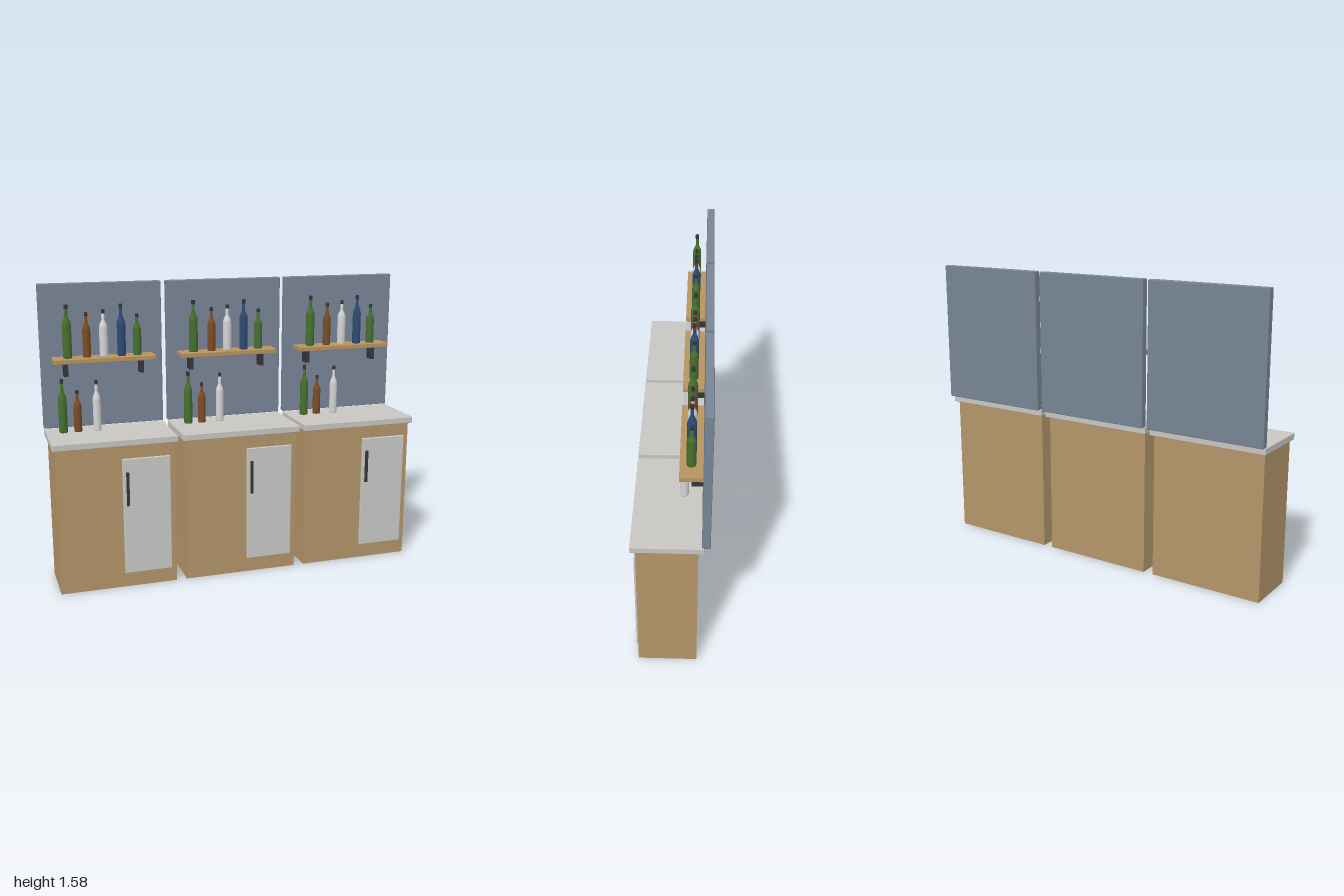
import * as THREE from 'three';
import { RoundedBoxGeometry } from 'three/addons/geometries/RoundedBoxGeometry.js';

const material = (name, color) => {
  const m = new THREE.MeshStandardMaterial({ color });
  m.name = name;
  return m;
};

// Box given by its min/max extents; a radius softens the edges
function box(name, mat, [x0, x1], [y0, y1], [z0, z1], radius = 0) {
  const size = [x1 - x0, y1 - y0, z1 - z0];
  const geo = radius ? new RoundedBoxGeometry(...size, 2, radius) : new THREE.BoxGeometry(...size);
  const mesh = new THREE.Mesh(geo, mat);
  mesh.name = name;
  mesh.position.set((x0 + x1) / 2, (y0 + y1) / 2, (z0 + z1) / 2);
  return mesh;
}

// Bottle with straight body, sloped shoulder, slim neck and a dark cap
function bottle(name, glass, capMat, x, y, z, h, r) {
  const group = new THREE.Group();
  group.name = name;
  const neck = r * 0.36;
  const profile = [
    [0, 0], [r * 0.94, 0], [r, h * 0.015], [r, h * 0.62], [r * 0.9, h * 0.67],
    [r * 0.55, h * 0.74], [neck, h * 0.79], [neck, h * 0.93], [0, h * 0.93],
  ].map(([a, b]) => new THREE.Vector2(a, b));
  const body = new THREE.Mesh(new THREE.LatheGeometry(profile, 20), glass);
  body.name = 'bottleBody';
  const cap = new THREE.Mesh(new THREE.CylinderGeometry(r * 0.42, r * 0.42, h * 0.08, 16), capMat);
  cap.name = 'bottleCap';
  cap.position.y = h * 0.96;
  group.add(body, cap);
  group.position.set(x, y, z);
  return group;
}

export function createModel() {
  const wood = material('cabinet wood', 0xb3956a);
  const shelfWood = material('shelf wood', 0xb8935f);
  const blueGrey = material('blue grey panel', 0x788596);
  const stone = material('counter stone', 0xc8c6c2);
  const doorGrey = material('door grey', 0xc8c8c6);
  const dark = material('dark metal', 0x35353a);
  const green = material('green glass', 0x46702f);
  const brown = material('brown glass', 0x7d4c24);
  const clear = material('clear glass', 0xd4d4d4);
  const blue = material('blue glass', 0x2f4a75);

  // Bottles: material, x, height, radius
  const shelfBottles = [
    [green, -0.19, 0.277, 0.0235], [brown, -0.089, 0.234, 0.021], [clear, 0, 0.245, 0.0225],
    [blue, 0.094, 0.271, 0.0225], [green, 0.178, 0.217, 0.022],
  ];
  const counterBottles = [
    [green, -0.233, 0.284, 0.0225], [brown, -0.156, 0.219, 0.021], [clear, -0.054, 0.268, 0.021],
  ];

  const model = new THREE.Group();
  model.name = 'barCounter';
  for (const cx of [-0.676, 0, 0.676]) {
    const unit = new THREE.Group();
    unit.name = 'barUnit';
    unit.position.x = cx;

    // Cabinet, worktop and back panel
    unit.add(
      box('cabinet', wood, [-0.31, 0.31], [0, 0.78], [-0.132, 0.164]),
      box('countertop', stone, [-0.324, 0.324], [0.778, 0.813], [-0.159, 0.188], 0.004),
      box('backPanel', blueGrey, [-0.324, 0.324], [0.816, 1.578], [-0.188, -0.148], 0.004),
    );

    // Door with handle
    unit.add(
      box('door', doorGrey, [0.029, 0.283], [0.078, 0.706], [0.16, 0.175], 0.004),
      box('doorHandle', dark, [0.047, 0.061], [0.455, 0.635], [0.174, 0.187]),
    );

    // Shelf on two brackets
    unit.add(box('shelf', shelfWood, [-0.269, 0.269], [1.174, 1.199], [-0.149, -0.04], 0.003));
    for (const s of [-1, 1]) {
      unit.add(box('shelfBracket', dark, [s * 0.201 - 0.011, s * 0.201 + 0.011], [1.1, 1.175], [-0.149, -0.094]));
    }

    // Bottles
    for (const [glass, x, h, r] of shelfBottles) unit.add(bottle('shelfBottle', glass, dark, x, 1.199, -0.093, h, r));
    for (const [glass, x, h, r] of counterBottles) unit.add(bottle('counterBottle', glass, dark, x, 0.813, -0.059, h, r));

    model.add(unit);
  }
  return model;
}
